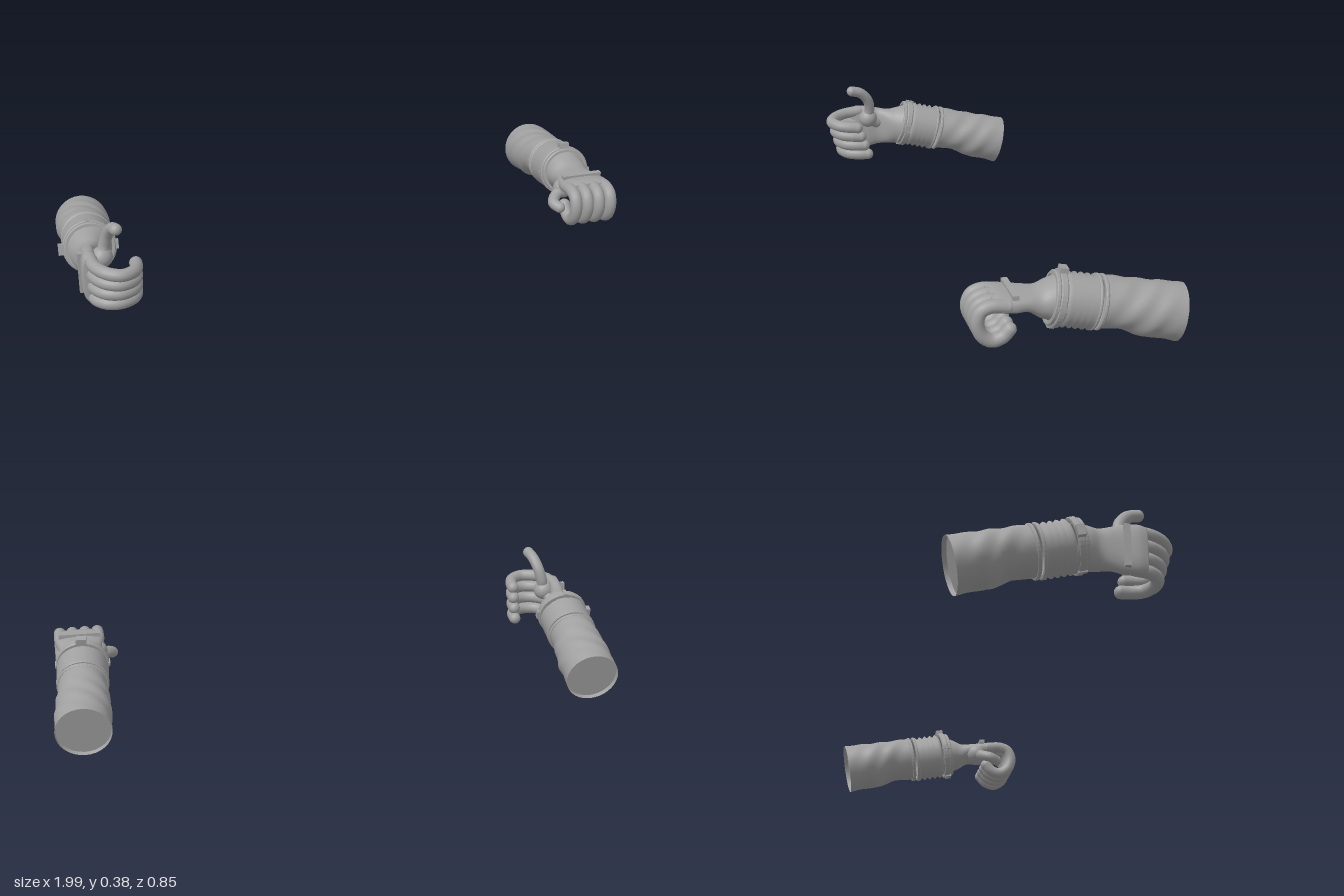
import * as THREE from 'three';

const grey = new THREE.MeshStandardMaterial({ color: 0xa0a0a0 });
grey.name = 'grey';
grey.side = THREE.DoubleSide;

function add(parent, name, geometry, x = 0, y = 0, z = 0) {
  const mesh = new THREE.Mesh(geometry, grey);
  mesh.name = name;
  mesh.position.set(x, y, z);
  parent.add(mesh);
  return mesh;
}

// Skin through elliptical sections [z, halfWidth, centreY, halfHeight, squareness], listed from back to front
function loft(sections, capFront = false, wrinkle = 0, steps = 6) {
  const sides = 32, pos = [], idx = [];
  const rows = (sections.length - 1) * steps;
  const curves = [0, 1, 2, 3].map((k) => new THREE.CatmullRomCurve3(
    sections.map((s) => new THREE.Vector3(s[0], s[k], s[4] ?? 1))));
  for (let i = 0; i <= rows; i++) {
    const p = curves.map((c) => c.getPoint(i / rows));
    const z = p[0].x, power = p[0].z;
    const fade = Math.sin(Math.PI * i / rows);
    for (let j = 0; j < sides; j++) {
      const a = j / sides * Math.PI * 2, c = Math.cos(a), s = Math.sin(a);
      const bump = 1 + wrinkle * fade * Math.sin(3 * a + z * 45) * Math.cos(a + z * 30);
      pos.push(p[1].y * Math.sign(c) * Math.abs(c) ** power * bump,
        p[2].y + p[3].y * Math.sign(s) * Math.abs(s) ** power * bump, z);
      if (i === rows) continue;
      const k = (j + 1) % sides, r = i * sides, n = r + sides;
      idx.push(r + j, r + k, n + j, r + k, n + k, n + j);
    }
  }
  if (capFront) {
    const last = sections[sections.length - 1], r = rows * sides;
    pos.push(0, last[2], last[0]);
    for (let j = 0; j < sides; j++) idx.push(r + j, r + (j + 1) % sides, r + sides);
  }
  const g = new THREE.BufferGeometry();
  g.setAttribute('position', new THREE.Float32BufferAttribute(pos, 3));
  g.setIndex(idx);
  g.computeVertexNormals();
  return g;
}

// Round ring with a bevelled rectangular section, its axis along z
function band(radius, width, depth = 0.012) {
  const w = width / 2, b = 0.003;
  const profile = [[radius - depth, -w], [radius - b, -w], [radius, -w + b], [radius, w - b], [radius - b, w], [radius - depth, w]];
  const g = new THREE.LatheGeometry(profile.map((p) => new THREE.Vector2(...p)), 40).rotateX(Math.PI / 2);
  const flat = g.toNonIndexed();
  flat.computeVertexNormals();
  return flat;
}

// Round-ended tube for a finger or thumb
function digit(parent, name, points, radius) {
  const group = new THREE.Group();
  group.name = name;
  parent.add(group);
  const curve = new THREE.CatmullRomCurve3(points.map((p) => new THREE.Vector3(...p)));
  add(group, name + 'Tube', new THREE.TubeGeometry(curve, 32, radius, 14));
  for (const p of [points[0], points[points.length - 1]])
    add(group, name + 'End', new THREE.SphereGeometry(radius, 16, 12), ...p);
}

function makeForearm(roll) {
  const arm = new THREE.Group();
  arm.name = 'forearm';
  add(arm, 'sleeve', loft([
    [-0.40, 0.093, 0, 0.093], [-0.34, 0.092, 0.002, 0.09], [-0.29, 0.091, 0, 0.091],
    [-0.235, 0.088, 0.006, 0.08], [-0.19, 0.084, 0.008, 0.08], [-0.135, 0.082, 0.004, 0.083],
  ], false, 0.05));
  add(arm, 'sleeveEnd', new THREE.CircleGeometry(0.091, 32).rotateY(Math.PI), 0, 0, -0.385);

  // Bellows joint between the sleeve and the cuff
  const folds = [];
  for (let i = 0; i <= 10; i++) folds.push(new THREE.Vector2(i % 2 ? 0.088 : 0.078, -0.125 + i * 0.0105));
  add(arm, 'bellows', new THREE.LatheGeometry(folds, 40).rotateX(Math.PI / 2));
  add(arm, 'rearBand', band(0.088, 0.012), 0, 0.003, -0.14);
  add(arm, 'middleBand', band(0.089, 0.01), 0, 0.002, -0.122);
  add(arm, 'cuffBand', band(0.091, 0.022), 0, 0, -0.005);
  add(arm, 'cuffLip', band(0.086, 0.014), 0, 0, 0.012);

  // Clasps around the cuff
  const clasps = new THREE.Group();
  clasps.name = 'clasps';
  clasps.rotation.z = roll;
  arm.add(clasps);
  add(clasps, 'mainClasp', new THREE.BoxGeometry(0.036, 0.02, 0.026), 0, 0.095, -0.005);
  add(clasps, 'lowerClasp', new THREE.BoxGeometry(0.03, 0.01, 0.022), 0, -0.091, -0.003);
  for (const s of [-1, 1])
    add(clasps, 'sideClasp', new THREE.BoxGeometry(0.008, 0.012, 0.03), s * 0.09, 0, -0.004);
  return arm;
}

// Hand with its back up and fingers towards +z; the finger path is [y, z] points
function makeHand(fingerPath, thumbPath, tipScale, tipShift, stagger) {
  const hand = new THREE.Group();
  hand.name = 'hand';
  add(hand, 'palm', loft([
    [-0.01, 0.08, 0, 0.08, 1], [0.03, 0.074, 0.004, 0.064, 1], [0.065, 0.07, 0.004, 0.046, 0.9],
    [0.105, 0.075, 0.018, 0.03, 0.8], [0.15, 0.084, 0.022, 0.028, 0.7],
    [0.19, 0.086, 0.026, 0.027, 0.7], [0.215, 0.08, 0.026, 0.021, 0.7],
  ], true));
  add(hand, 'knuckleBar', new THREE.BoxGeometry(0.145, 0.014, 0.02), 0, 0.051, 0.148);
  [-1.5, -0.5, 0.5, 1.5].forEach((f) => {
    const n = fingerPath.length - 1;
    const points = fingerPath.map(([y, z], i) => {
      const t = i / n;
      return [f * 0.044 * (1 + (tipScale - 1) * t) + tipShift * t, y, z + stagger * (f - 1.5) * Math.min(1, t * 2)];
    });
    digit(hand, 'finger', points, 0.0215);
  });
  add(hand, 'thumbBase', new THREE.SphereGeometry(0.036, 20, 14), ...thumbPath[1]);
  digit(hand, 'thumb', thumbPath, 0.02);
  return hand;
}

function place(parent, part, x, y, z, pitch, yaw, roll) {
  part.position.set(x, y, z);
  part.rotation.set(pitch, yaw, roll, 'YXZ');
  parent.add(part);
}

export function createModel() {
  const model = new THREE.Group();
  model.name = 'glovedArms';

  // Left arm: palm down, fingers curled, thumb tucked inwards
  const left = new THREE.Group();
  left.name = 'leftArm';
  model.add(left);
  place(left, makeForearm(0), 0.878, 0.185, -0.015, -0.2, -0.055, 0);
  place(left, makeHand(
    [[0.025, 0.17], [0.03, 0.22], [0.018, 0.252], [-0.018, 0.265], [-0.06, 0.252], [-0.082, 0.22], [-0.072, 0.185], [-0.05, 0.165]],
    [[-0.045, 0, 0.08], [-0.058, -0.002, 0.125], [-0.095, -0.02, 0.145], [-0.113, -0.033, 0.175], [-0.1, -0.04, 0.2]],
    1, 0, 0), 0.88, 0.18, -0.02, 0, 0, 0);

  // Right arm: back of the hand outwards, thumb raised
  const right = new THREE.Group();
  right.name = 'rightArm';
  model.add(right);
  place(right, makeForearm(Math.PI / 2), -0.895, 0.19, 0.105, -0.25, -0.04, 0);
  place(right, makeHand(
    [[0.022, 0.18], [0.012, 0.24], [-0.02, 0.285], [-0.065, 0.303], [-0.105, 0.28], [-0.12, 0.245], [-0.123, 0.21]],
    [[0.02, -0.005, 0.115], [0.047, -0.022, 0.15], [0.09, -0.033, 0.145], [0.132, -0.045, 0.155], [0.165, -0.057, 0.185], [0.177, -0.065, 0.22]],
    0.84, -0.014, 0.013), -0.895, 0.18, 0.105, 0, 0, Math.PI / 2);

  return model;
}
